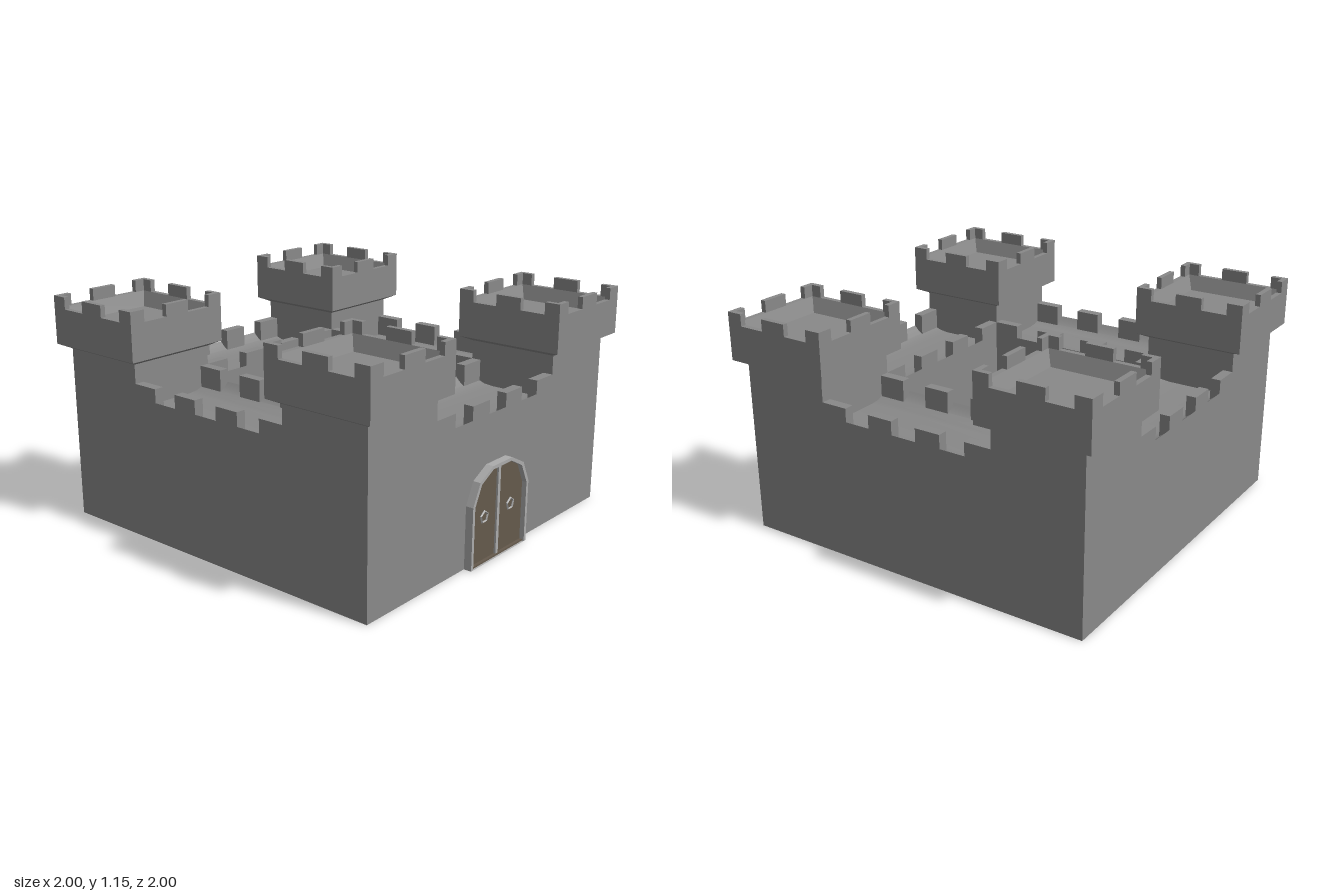
import * as THREE from 'three';
import { toCreasedNormals } from 'three/addons/utils/BufferGeometryUtils.js';

const stone = new THREE.MeshStandardMaterial({ color: 0x898989 });
const trim = new THREE.MeshStandardMaterial({ color: 0xacacac, flatShading: true });
const wood = new THREE.MeshStandardMaterial({ color: 0x655a4c, flatShading: true });

const OUT = 0.948, IN = 0.477;          // outer and inner wall faces
const WALL_TOP = 0.717, RIM = 1.09;     // wall edge and tower rim heights
const MID = (OUT + IN) / 2, HEAD = 0.2875;

function add(parent, name, geometry, material = stone) {
  const mesh = new THREE.Mesh(geometry, material);
  mesh.name = name;
  parent.add(mesh);
  return mesh;
}

// Box given by its minimum and maximum corners
function block(parent, name, a, b, material) {
  const size = b.map((v, i) => v - a[i]);
  const mesh = add(parent, name, new THREE.BoxGeometry(...size), material);
  mesh.position.set(...a.map((v, i) => (v + b[i]) / 2));
  return mesh;
}

function polygon(points, Type = THREE.Shape) {
  return new Type(points.map(([x, y]) => new THREE.Vector2(x, y)));
}

// Sweeps a [distance from axis, height] profile around a square
function squareLathe(profile) {
  const points = profile.map(([r, y]) => new THREE.Vector2(r * Math.SQRT2, y));
  return toCreasedNormals(new THREE.LatheGeometry(points, 4, Math.PI / 4), 0.5);
}

// Ring of walls with a walkway that dips between its edges
function createWalls() {
  const dip = [[0, WALL_TOP], [0.02, 0.696], [0.045, 0.678], [0.08, 0.665], [0.13, 0.66]];
  return squareLathe([
    [IN, 0], [OUT, 0],
    ...dip.map(([d, y]) => [OUT - d, y]),
    ...dip.slice().reverse().map(([d, y]) => [IN + d, y]),
    [IN, 0],
  ]);
}

// Wall merlon from x0 to x1; its foot follows the dip of the walkway
function addWallMerlon(parent, x0, x1, edge, inward) {
  const section = polygon([
    [-edge, WALL_TOP], [-edge, 0.785],
    [-edge - inward * 0.05, 0.785], [-edge - inward * 0.05, 0.66],
  ]);
  const geometry = new THREE.ExtrudeGeometry(section, { depth: x1 - x0, bevelEnabled: false });
  geometry.rotateY(Math.PI / 2);
  add(parent, 'wallMerlon', geometry).position.x = x0;
}

// Square tower: shaft, flared head, thin rim and sunken floor
function createTower() {
  const tower = new THREE.Group();
  tower.name = 'tower';
  const half = (OUT - IN) / 2;
  add(tower, 'towerBody', squareLathe([
    [half, 0.62], [half, 0.88], [HEAD, 0.905], [HEAD, RIM],
    [HEAD - 0.027, RIM], [HEAD - 0.058, 1.015], [0, 1.015],
  ]));

  // Battlements: one middle merlon per side and wrapped corners
  for (let i = 0; i < 4; i++) {
    const side = new THREE.Group();
    side.name = 'towerBattlements';
    side.rotation.y = i * Math.PI / 2;
    for (const [x0, x1] of [[-HEAD, -HEAD + 0.082], [-0.07, 0.07], [HEAD - 0.082, HEAD - 0.027]]) {
      block(side, 'towerMerlon', [x0, RIM, HEAD - 0.027], [x1, 1.15, HEAD]);
    }
    tower.add(side);
  }
  return tower;
}

// Outline of the faceted door arch, pulled in by d
function archPoints(d) {
  const right = [[0.235 - d, 0], [0.235 - d, 0.315 - d * 0.3], [0.183 - d * 0.8, 0.423 - d * 0.75], [0.08 - d * 0.2, 0.476 - d]];
  return [...right, ...right.slice().reverse().map(([x, y]) => [-x, y])];
}

function createDoor() {
  const door = new THREE.Group();
  door.name = 'door';
  door.position.z = OUT;

  // Raised frame around the opening
  const frame = polygon(archPoints(0));
  frame.holes.push(polygon(archPoints(0.017), THREE.Path));
  add(door, 'doorFrame', new THREE.ExtrudeGeometry(frame, { depth: 0.04, bevelEnabled: false }), trim);

  // Wooden leaves with a sill below and a strip between them
  add(door, 'doorLeaves', new THREE.ExtrudeGeometry(polygon(archPoints(0.015)), { depth: 0.015, bevelEnabled: false }), wood);
  block(door, 'doorSill', [-0.218, 0, 0], [0.218, 0.008, 0.03], wood);
  block(door, 'doorStrip', [-0.01, 0.008, 0], [0.01, 0.456, 0.025], trim);

  // Five-sided ring handles
  for (const s of [-1, 1]) {
    const ring = add(door, 'doorHandle', new THREE.TorusGeometry(0.029, 0.006, 4, 5), trim);
    ring.position.set(s * 0.11, 0.228, 0.019);
    ring.rotation.z = Math.PI / 2;
  }
  return door;
}

export function createModel() {
  const castle = new THREE.Group();
  castle.name = 'castle';
  add(castle, 'walls', createWalls());

  // Merlons along the outer and inner edge of each wall
  for (let i = 0; i < 4; i++) {
    const side = new THREE.Group();
    side.name = 'wallBattlements';
    side.rotation.y = i * Math.PI / 2;
    for (const [x0, x1] of [[-IN, -0.338], [-0.203, -0.068], [0.068, 0.203], [0.338, IN]]) {
      addWallMerlon(side, x0, x1, OUT, -1);
      addWallMerlon(side, x0, x1, IN, 1);
    }
    castle.add(side);
  }

  // Corner towers
  for (const x of [-MID, MID]) {
    for (const z of [-MID, MID]) {
      const tower = createTower();
      tower.position.set(x, 0, z);
      castle.add(tower);
    }
  }

  castle.add(createDoor());
  return castle;
}
